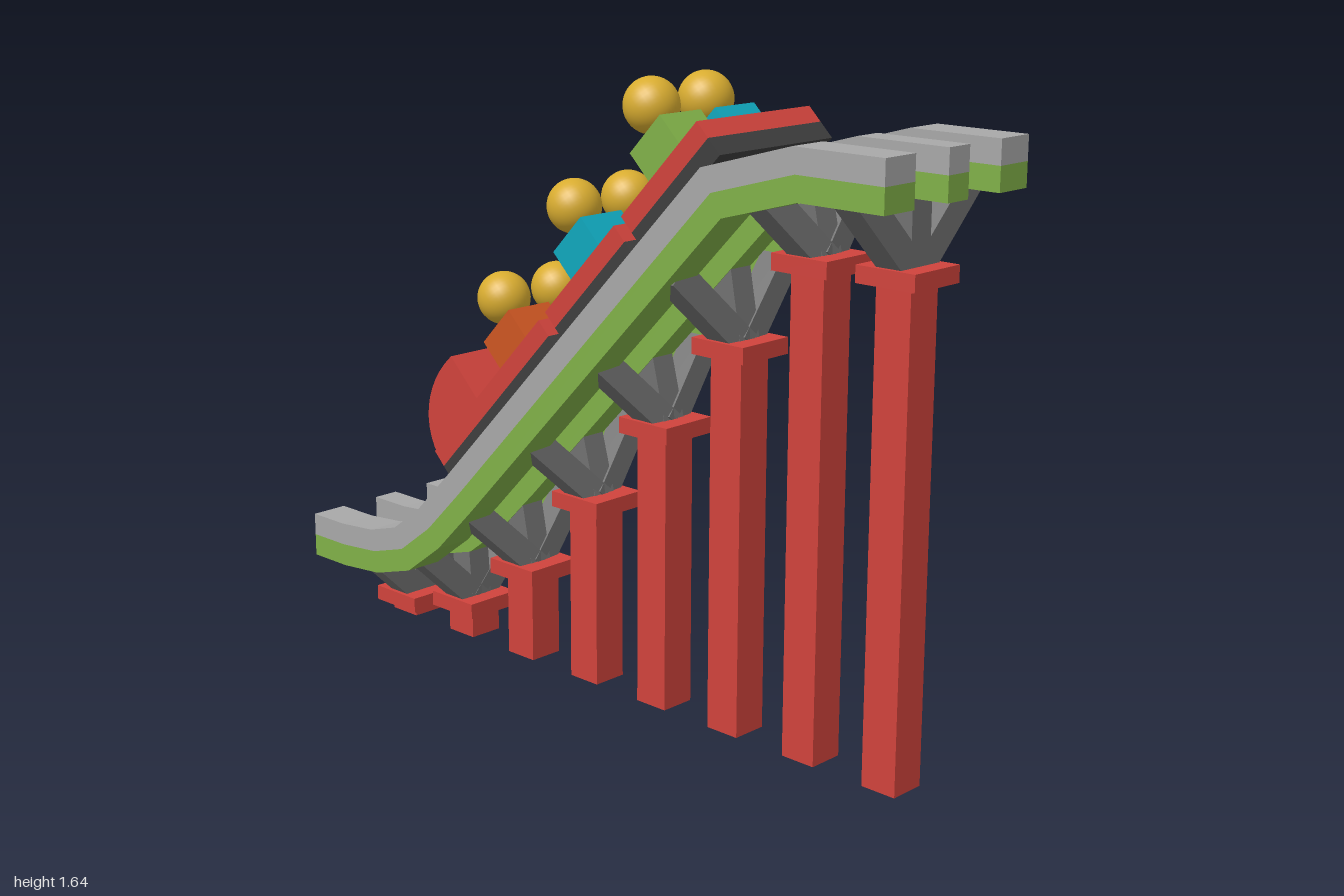
import * as THREE from 'three';

const mat = (name, color) => {
  const m = new THREE.MeshStandardMaterial({ color });
  m.name = name;
  return m;
};

export function createModel() {
  const red = mat('red', 0xd0433c);
  const railGray = mat('rail gray', 0xa8a8a8);
  const green = mat('green', 0x80b048);
  const strutGray = mat('strut gray', 0x707070);
  const charcoal = mat('charcoal', 0x3e3e3e);
  const gold = mat('gold', 0xd8ac30);
  const cyan = mat('cyan', 0x10a6bc);
  const orange = mat('orange', 0xcc5522);
  const purple = mat('purple', 0x8e44ad);

  const root = new THREE.Group();
  root.name = 'rollerCoaster';

  const add = (parent, name, geometry, material, x = 0, y = 0, z = 0) => {
    const mesh = new THREE.Mesh(geometry, material);
    mesh.name = name;
    mesh.position.set(x, y, z);
    parent.add(mesh);
    return mesh;
  };

  // Box given by its limits along x and y, its width and centre along z
  const block = (parent, name, material, x0, x1, y0, y1, width, z = 0) =>
    add(parent, name, new THREE.BoxGeometry(x1 - x0, y1 - y0, width), material,
      (x0 + x1) / 2, (y0 + y1) / 2, z);

  // Shape extruded along z about z = 0
  const slab = (shape, width) =>
    new THREE.ExtrudeGeometry(shape, { depth: width, bevelEnabled: false, curveSegments: 12 })
      .translate(0, 0, -width / 2);

  // Track line in side profile, where the two rail layers meet
  const path = [
    [-1, 0.255], [-0.87, 0.255], [-0.735, 0.267], [-0.615, 0.302], [-0.5, 0.387],
    [-0.37, 0.515], [0.51, 1.412], [0.755, 1.48], [1, 1.48],
  ].map(([x, y]) => new THREE.Vector2(x, y));

  // Path shifted sideways, with mitred corners
  const offsetPath = (d) => path.map((p, i) => {
    const a = p.clone().sub(path[Math.max(i - 1, 0)]).normalize();
    const b = path[Math.min(i + 1, path.length - 1)].clone().sub(p).normalize();
    const t = a.clone().add(b).normalize();
    const cos = t.dot(i ? a : b);
    return new THREE.Vector2(p.x - t.y * d / cos, p.y + t.x * d / cos);
  });
  const layer = (low, high) => new THREE.Shape([...offsetPath(low), ...offsetPath(high).reverse()]);

  // Three rails, each gray above green
  const rails = [['leftRail', 0.208, 0.104], ['centreRail', 0, 0.074], ['rightRail', -0.208, 0.104]];
  for (const [name, z, width] of rails) {
    add(root, name + 'Top', slab(layer(0, 0.061), width), railGray, 0, 0, z);
    add(root, name + 'Base', slab(layer(-0.061, 0), width), green, 0, 0, z);
  }

  // Square bar between two points
  const bar = (parent, name, from, to, size) => {
    const dir = to.clone().sub(from);
    const mesh = add(parent, name, new THREE.BoxGeometry(size, dir.length(), size), strutGray);
    mesh.position.copy(from).add(to).multiplyScalar(0.5);
    const yAxis = dir.normalize();
    const zAxis = new THREE.Vector3(1, 0, 0).cross(yAxis).normalize();
    const xAxis = yAxis.clone().cross(zAxis);
    mesh.quaternion.setFromRotationMatrix(new THREE.Matrix4().makeBasis(xAxis, yAxis, zAxis));
  };

  // Supports: column, cap and three struts; [cap top, strut lean]
  const supports = [
    [0.068, 0], [0.114, 0.015], [0.272, 0.04], [0.518, 0.055],
    [0.768, 0.052], [1.015, 0.038], [1.256, 0.045], [1.262, 0],
  ];
  supports.forEach(([top, lean], i) => {
    const x = -0.865 + i * 0.2479;
    const support = new THREE.Group();
    support.name = 'support' + (i + 1);
    root.add(support);
    block(support, 'column', red, x - 0.049, x + 0.049, 0, top - 0.02, 0.098);
    block(support, 'cap', red, x - 0.083, x + 0.083, top - 0.042, top, 0.164);
    for (const z of [-0.205, 0, 0.205]) {
      bar(support, 'strut', new THREE.Vector3(x, top - 0.02, 0),
        new THREE.Vector3(x - lean, top + 0.182, z), 0.07);
    }
  });

  // Train, built level and tilted to the slope
  const train = new THREE.Group();
  train.name = 'train';
  train.rotation.z = THREE.MathUtils.degToRad(45.8);
  root.add(train);

  const seatColours = [[orange, cyan], [cyan, purple], [green, cyan]];
  seatColours.forEach(([leftColour, rightColour], i) => {
    const car = new THREE.Group();
    car.name = 'car' + (i + 1);
    train.add(car);
    const start = 0.29 + i * 0.383;
    const end = start + 0.348;
    const front = i === 0 ? 0.045 : start;
    block(car, 'chassis', charcoal, front, end, 0.691, 0.742, 0.4);
    block(car, 'body', red, front, end, 0.742, 0.792, 0.4);
    if (i < 2) block(car, 'coupler', red, end, end + 0.035, 0.752, 0.782, 0.1);
    // Riders in pairs
    for (const [side, colour] of [[1, leftColour], [-1, rightColour]]) {
      const s = start + 0.104;
      block(car, 'riderBody', colour, s, s + 0.14, 0.792, 0.897, 0.142, side * 0.096);
      add(car, 'riderHead', new THREE.SphereGeometry(0.07, 32, 20), gold,
        s + 0.08, 0.97, side * 0.096);
    }
  });

  // Rounded nose of the first car
  const nose = new THREE.Shape();
  nose.moveTo(0.045, 0.742);
  nose.lineTo(0.294, 0.742);
  nose.lineTo(0.294, 0.93);
  nose.bezierCurveTo(0.15, 0.945, 0.045, 0.87, 0.045, 0.742);
  add(train, 'nose', slab(nose, 0.4), red);

  return root;
}
